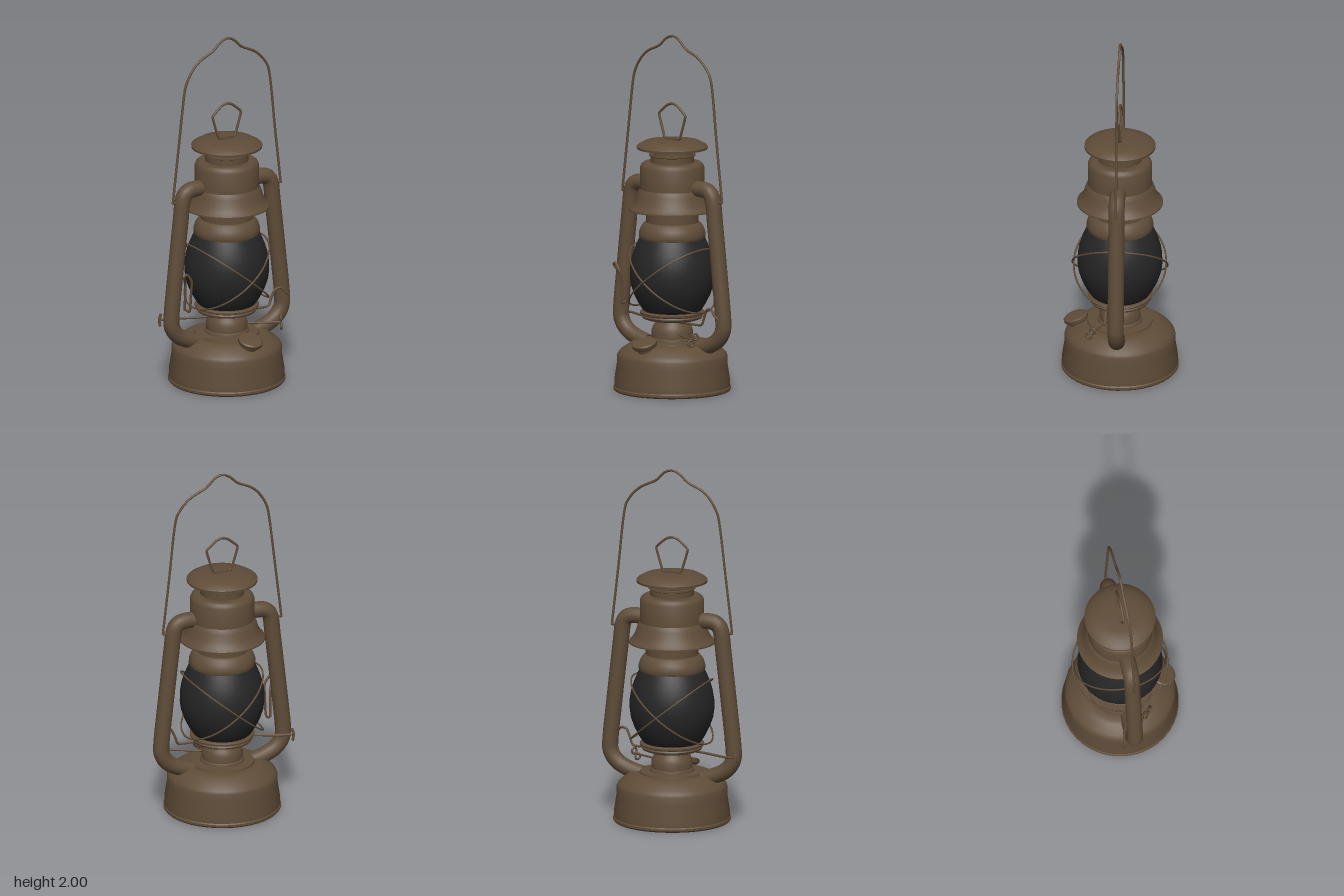
import * as THREE from 'three';
import { toCreasedNormals } from 'three/addons/utils/BufferGeometryUtils.js';

export function createModel() {
  const lantern = new THREE.Group();
  lantern.name = 'lantern';
  const metal = new THREE.MeshStandardMaterial({ color: 0x5f4c38, side: THREE.DoubleSide });
  metal.name = 'bronze metal';
  const glass = new THREE.MeshStandardMaterial({ color: 0x252525, side: THREE.DoubleSide });
  glass.name = 'dark glass';

  const add = (name, geometry, material = metal, parent = lantern) => {
    const mesh = new THREE.Mesh(geometry, material);
    mesh.name = name;
    parent.add(mesh);
    return mesh;
  };
  // Turned part from [radius, height] pairs listed bottom to top
  const turned = (name, profile, material, parent) => add(name, toCreasedNormals(
    new THREE.LatheGeometry(profile.map(([r, y]) => new THREE.Vector2(r, y)), 40), 0.6), material, parent);
  // Round wire or pipe through points
  const wire = (name, points, radius, { closed = false, tension = 0.5, steps = 48, sides = 8, parent } = {}) => {
    const path = new THREE.CatmullRomCurve3(points.map((p) => new THREE.Vector3(...p)), closed, 'catmullrom', tension);
    return add(name, new THREE.TubeGeometry(path, steps, radius, sides, closed), metal, parent);
  };

  // Fuel tank
  turned('fuelTank', [[0, 0], [0.32, 0], [0.327, 0.008], [0.327, 0.02], [0.322, 0.026], [0.322, 0.06],
    [0.308, 0.15], [0.308, 0.195], [0.302, 0.21], [0.285, 0.228], [0.235, 0.264], [0.215, 0.272],
    [0.18, 0.272], [0.178, 0.283], [0.12, 0.285], [0, 0.285]]);

  // Burner and the gallery that carries the globe
  turned('burner', [[0.125, 0.28], [0.122, 0.295], [0.115, 0.3], [0.115, 0.34], [0.105, 0.365],
    [0.085, 0.39], [0.08, 0.41], [0, 0.41]]);
  turned('globeGallery', [[0.08, 0.4], [0.145, 0.4], [0.165, 0.408], [0.17, 0.418], [0.165, 0.426],
    [0.178, 0.432], [0.18, 0.442], [0.172, 0.448], [0.15, 0.448]]);

  // Glass globe
  turned('globe', [[0.15, 0.442], [0.165, 0.455], [0.187, 0.49], [0.212, 0.54], [0.229, 0.59], [0.236, 0.64],
    [0.235, 0.69], [0.227, 0.74], [0.212, 0.79], [0.193, 0.835], [0.18, 0.862]], glass);

  // Chimney collar and inner flue
  turned('chimneyCollar', [[0.15, 0.855], [0.182, 0.858], [0.186, 0.868], [0.185, 0.89], [0.177, 0.915],
    [0.162, 0.938], [0.146, 0.948], [0.146, 1.2]]);

  // Flared hood
  turned('hood', [[0.232, 1.014], [0.24, 1.014], [0.24, 1.022], [0.222, 1.04], [0.205, 1.07], [0.194, 1.105],
    [0.186, 1.125], [0.179, 1.135], [0.179, 1.255], [0.172, 1.272], [0.158, 1.283], [0.12, 1.285]]);
  turned('ventCollar', [[0.122, 1.28], [0.122, 1.318], [0.13, 1.322], [0.13, 1.33], [0.118, 1.332]]);

  // Four vent posts between the collar and the cap
  for (let i = 0; i < 4; i++) {
    add('ventPost', new THREE.CylinderGeometry(0.124, 0.124, 0.055, 6, 1, true, i * Math.PI / 2 - 0.27, 0.54))
      .position.y = 1.352;
  }

  // Top cap
  turned('topCap', [[0.1, 1.372], [0.185, 1.37], [0.192, 1.36], [0.197, 1.36], [0.198, 1.372], [0.19, 1.38],
    [0.155, 1.4], [0.1, 1.406], [0, 1.408]]);
  add('capBracket', new THREE.BoxGeometry(0.08, 0.018, 0.024)).position.y = 1.412;
  wire('capLoop', [[-0.05, 1.415, 0], [-0.068, 1.46, 0], [-0.093, 1.55, 0], [-0.035, 1.602, 0], [0, 1.613, 0],
    [0.035, 1.602, 0], [0.093, 1.55, 0], [0.068, 1.46, 0], [0.05, 1.415, 0]], 0.007, { closed: true, tension: 0.15, steps: 72 });

  // Side air pipes with their bail pins
  for (const s of [-1, 1]) {
    const side = s > 0 ? 'left' : 'right';
    wire(side + 'AirPipe', [[s * 0.15, 1.148, 0], [s * 0.22, 1.15, 0], [s * 0.265, 1.138, 0], [s * 0.29, 1.095, 0],
      [s * 0.305, 0.97, 0], [s * 0.34, 0.66, 0], [s * 0.364, 0.43, 0], [s * 0.358, 0.36, 0], [s * 0.32, 0.308, 0],
      [s * 0.26, 0.275, 0], [s * 0.18, 0.25, 0]], 0.045, { steps: 64, sides: 16 });
    wire(side + 'BailPin', [[s * 0.28, 1.09, 0], [s * 0.32, 1.088, 0], [s * 0.358, 1.09, 0]], 0.008, { steps: 8 });
  }

  // Carrying bail
  wire('bail', [[-0.355, 1.09, 0], [-0.318, 1.4, 0], [-0.283, 1.69, 0], [-0.262, 1.78, 0], [-0.22, 1.85, 0],
    [-0.17, 1.895, 0], [-0.095, 1.93, 0], [-0.045, 1.975, 0], [0, 1.993, 0], [0.045, 1.978, 0], [0.095, 1.93, 0],
    [0.185, 1.885, 0], [0.25, 1.82, 0], [0.283, 1.73, 0], [0.318, 1.41, 0], [0.355, 1.09, 0]], 0.007, { steps: 90 });

  // Two tilted guard wires crossing in front of and behind the globe
  for (const s of [-1, 1]) {
    const ring = [];
    for (let i = 0; i < 24; i++) {
      const a = i / 24 * Math.PI * 2;
      ring.push([0.222 * Math.sin(a), 0.635 + s * 0.178 * Math.sin(a), (s > 0 ? 0.266 : 0.257) * Math.cos(a)]);
    }
    wire('globeGuard', ring, 0.005, { closed: true, steps: 80, sides: 6 });
  }

  // Globe lift rod with a cranked thumb end and a hooked rear end
  wire('liftRod', [[-0.4, 0.4, -0.07], [-0.37, 0.395, -0.06], [-0.32, 0.395, -0.05], [-0.15, 0.395, 0.02],
    [0.1, 0.395, 0.04], [0.24, 0.395, 0.045], [0.262, 0.435, 0.045], [0.285, 0.485, 0.05], [0.32, 0.492, 0.055],
    [0.35, 0.46, 0.06], [0.372, 0.445, 0.06]], 0.007, { tension: 0.3, steps: 80 });
  wire('liftRodHook', [[-0.395, 0.36, -0.07], [-0.4, 0.4, -0.07], [-0.392, 0.43, -0.065]], 0.008, { steps: 8 });
  wire('liftLever', [[-0.3, 0.47, 0.04], [-0.295, 0.47, 0.08], [-0.292, 0.58, 0.09], [-0.295, 0.65, 0.1],
    [-0.325, 0.695, 0.1], [-0.34, 0.68, 0.095], [-0.315, 0.62, 0.065], [-0.308, 0.47, 0.05]],
  0.007, { tension: 0.3, steps: 60 });

  // Wick shaft with a looped key
  wire('wickShaft', [[0.06, 0.325, 0.04], [0.15, 0.325, 0.085], [0.265, 0.325, 0.145]], 0.006, { steps: 8 });
  const key = new THREE.Group();
  key.name = 'wickKey';
  key.position.set(0.265, 0.325, 0.145);
  key.rotation.y = 1.07;
  lantern.add(key);
  for (const s of [-1, 1]) {
    add('keyLoop', new THREE.TorusGeometry(0.017, 0.006, 8, 16), metal, key).position.set(s * 0.012, s * 0.018, 0);
  }

  // Filler neck and cap, leaning forward
  const filler = new THREE.Group();
  filler.name = 'filler';
  filler.position.set(0, 0.288, 0.245);
  filler.rotation.x = 0.33;
  lantern.add(filler);
  turned('fillerNeck', [[0.046, -0.08], [0.046, -0.02], [0.06, -0.014]], metal, filler);
  turned('fillerCap', [[0.05, -0.022], [0.064, -0.016], [0.07, -0.006], [0.07, 0.008], [0.062, 0.014], [0, 0.016]], metal, filler);
  return lantern;
}
